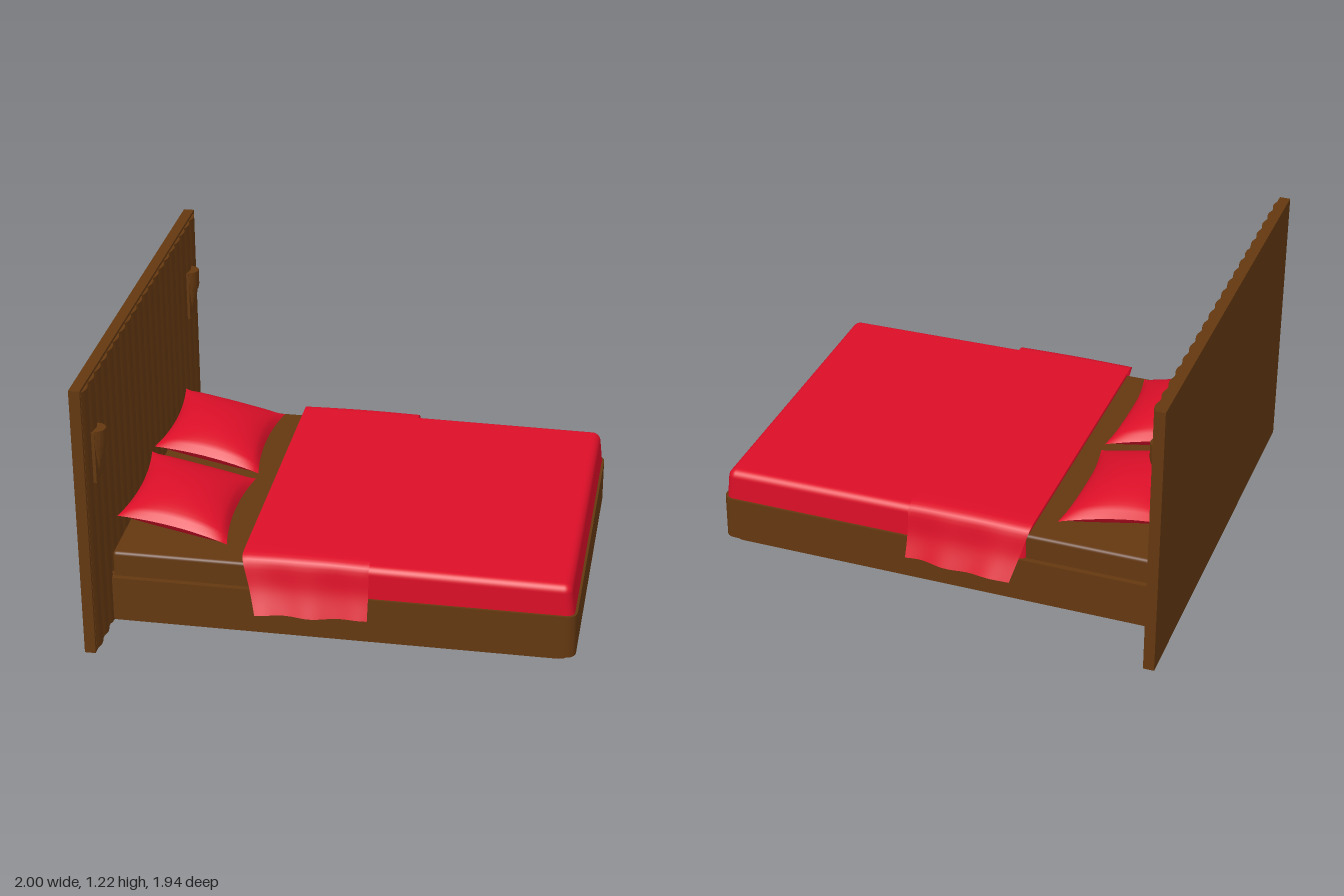
import * as THREE from 'three';
import { toCreasedNormals } from 'three/addons/utils/BufferGeometryUtils.js';
import { RoundedBoxGeometry } from 'three/addons/geometries/RoundedBoxGeometry.js';

const wood = new THREE.MeshStandardMaterial({ color: 0x643810 });
wood.name = 'brown wood';
const fabric = new THREE.MeshStandardMaterial({ color: 0xdc0f28, side: THREE.DoubleSide });
fabric.name = 'red fabric';

function add(parent, name, geometry, material) {
  const mesh = new THREE.Mesh(geometry, material);
  mesh.name = name;
  parent.add(mesh);
  return mesh;
}

function box(x0, x1, y0, y1, z0, z1) {
  return new THREE.BoxGeometry(x1 - x0, y1 - y0, z1 - z0)
    .translate((x0 + x1) / 2, (y0 + y1) / 2, (z0 + z1) / 2);
}

// Move every vertex by a rule, then rebuild the normals
function warp(geometry, rule) {
  const p = geometry.attributes.position;
  const v = new THREE.Vector3();
  for (let i = 0; i < p.count; i++) {
    v.fromBufferAttribute(p, i);
    rule(v);
    p.setXYZ(i, v.x, v.y, v.z);
  }
  geometry.computeVertexNormals();
  return geometry;
}

// Raise a plan outline (x, -z) from y0 to y1
function raise(shape, y0, y1) {
  const g = new THREE.ExtrudeGeometry(shape, { depth: y1 - y0, bevelEnabled: false, curveSegments: 8 });
  return toCreasedNormals(g.rotateX(-Math.PI / 2).translate(0, y0, 0), 0.6);
}

// Slab with rounded corners at the foot end only
function slab(x0, x1, half, r, y0, y1) {
  const s = new THREE.Shape();
  s.moveTo(x0, -half);
  s.lineTo(x1 - r, -half);
  s.quadraticCurveTo(x1, -half, x1, -half + r);
  s.lineTo(x1, half - r);
  s.quadraticCurveTo(x1, half, x1 - r, half);
  s.lineTo(x0, half);
  s.closePath();
  return raise(s, y0, y1);
}

function makeHeadboard() {
  const g = new THREE.Group();
  g.name = 'headboard';
  add(g, 'headboardPanel', box(-1, -0.954, 0, 1.2, -0.963, 0.963), wood);
  // Row of gently rounded upright planks
  const count = 20, pitch = 0.095;
  for (let i = 0; i < count; i++) {
    const a = (i - count / 2) * pitch + 0.001, b = a + pitch - 0.002;
    const s = new THREE.Shape();
    s.moveTo(-0.96, a);
    s.lineTo(-0.953, a);
    s.quadraticCurveTo(-0.929, (a + b) / 2, -0.953, b);
    s.lineTo(-0.96, b);
    s.closePath();
    add(g, 'plank', raise(s, 0.012, 1.188), wood);
  }
  return g;
}

// Half-round wall lamp with stepped, narrowing tiers
function makeLamp(z) {
  const g = new THREE.Group();
  g.name = 'wallLamp';
  add(g, 'lampBackplate', box(-0.955, -0.939, 0.74, 0.965, z - 0.045, z + 0.045), wood);
  const profile = [[0, 0.77], [0.008, 0.77]];
  const tiers = [0.014, 0.02, 0.026, 0.032, 0.038];
  tiers.forEach((r, i) => {
    const y = 0.79 + i * 0.022;
    profile.push([r - 0.004, y], [r, y + 0.002]);
  });
  profile.push([0.042, 0.9], [0.042, 0.968], [0, 0.968]);
  const lathe = new THREE.LatheGeometry(profile.map(([r, y]) => new THREE.Vector2(r, y)), 16, 0, Math.PI);
  add(g, 'lampShade', toCreasedNormals(lathe.translate(-0.945, 0, z), 0.5), wood);
  return g;
}

// Stuffed pillow with pinched corners and bowed-in sides
function makePillow(z) {
  const geometry = warp(new THREE.BoxGeometry(2, 2, 2, 24, 1, 24), (v) => {
    const { x: u, z: w } = v;
    const eu = Math.max(0, 1 - u * u), ew = Math.max(0, 1 - w * w);
    const puff = Math.pow(eu * ew, 0.55);
    v.set(u * 0.236 * (1 - 0.12 * ew), v.y * 0.082 * puff, w * 0.293 * (1 - 0.1 * eu));
  });
  const pillow = add(new THREE.Group(), 'pillow', geometry, fabric);
  pillow.position.set(-0.7, 0.412, z);
  pillow.rotation.z = -0.2;
  return pillow;
}

// Folded throw lying across the bed and hanging over both sides
function makeThrow() {
  const half = [[0.35, 0.375], [0.64, 0.375], [0.69, 0.37], [0.716, 0.345], [0.735, 0.24], [0.772, 0.14]];
  const pts = [...half.map(([z, y]) => new THREE.Vector2(-z, y)).reverse(),
    new THREE.Vector2(0, 0.375), ...half.map(([z, y]) => new THREE.Vector2(z, y))];
  const curve = new THREE.SplineCurve(pts);
  return warp(new THREE.PlaneGeometry(1, 1, 24, 90), (v) => {
    const t = v.x + 0.5;
    const p = curve.getPointAt(THREE.MathUtils.clamp(0.5 - v.y, 0, 1));
    const hang = THREE.MathUtils.clamp((0.37 - p.y) / 0.23, 0, 1);
    const side = Math.sign(p.x);
    const x0 = -0.385 + 0.065 * hang;
    const ripple = hang * (0.014 - 0.028 * t + 0.006 * Math.sin(t * 14 + side));
    v.set(x0 + (0.145 - x0) * t,
      p.y + 0.004 * Math.sin(t * Math.PI) * (1 - hang) + 0.003 * hang * Math.sin(t * 9),
      p.x + side * ripple);
  });
}

export function createModel() {
  const model = new THREE.Group();
  model.name = 'bed';

  // The whole bed leans very slightly sideways
  const body = new THREE.Group();
  body.name = 'bedBody';
  body.rotation.x = 0.012;
  body.position.set(0, 0.0116, -0.007);
  model.add(body);

  body.add(makeHeadboard(), makeLamp(0.808), makeLamp(-0.808));

  // Base, plinth and mattress
  add(body, 'plinth', slab(-0.955, 0.97, 0.69, 0.05, 0, 0.03), wood);
  add(body, 'bedBase', slab(-0.955, 1, 0.715, 0.05, 0.024, 0.217), wood);
  add(body, 'mattress', new RoundedBoxGeometry(1.88, 0.2, 1.384, 3, 0.015)
    .translate(0, 0.228, 0), wood);

  // Bed cover, tapering upward and sinking a little toward the foot
  const cover = new RoundedBoxGeometry(1.36, 0.22, 1.41, 5, 0.035).translate(0.31, 0.255, 0);
  const p = cover.attributes.position;
  for (let i = 0; i < p.count; i++) {
    const x = p.getX(i), y = p.getY(i);
    if (x > 0.5) p.setX(i, x - 0.1 * (y - 0.217));
    if (y > 0.25) p.setY(i, y - 0.009 * (x + 0.37));
  }
  add(body, 'bedCover', cover, fabric);
  add(body, 'foldedThrow', makeThrow(), fabric);

  body.add(makePillow(0.322), makePillow(-0.312));
  return model;
}
